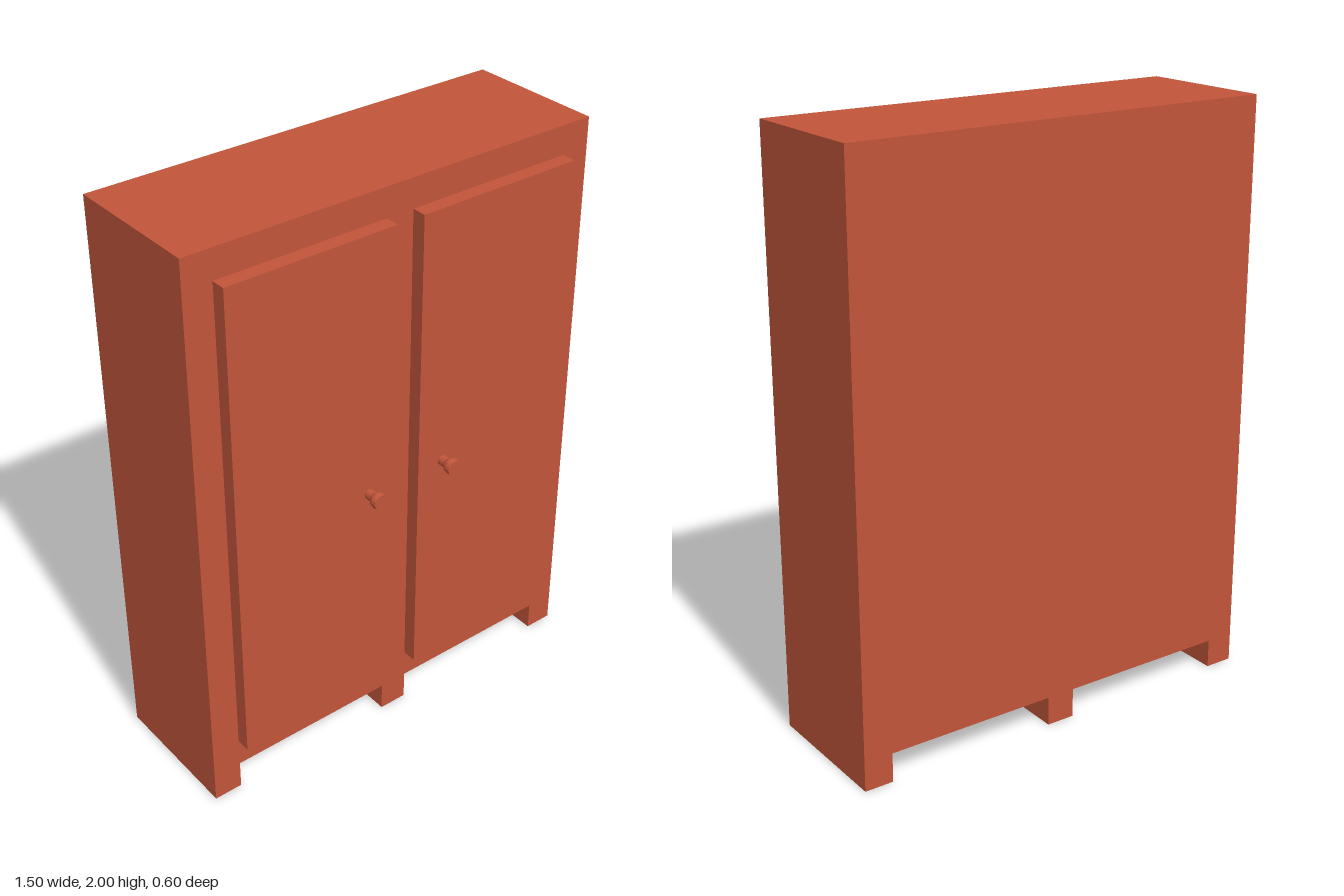
import * as THREE from 'three';

export function createModel() {
  const model = new THREE.Group();
  model.name = 'wardrobe';
  const wood = new THREE.MeshStandardMaterial({ color: 0xc1553b });

  // Box given by its minimum and maximum corners
  const board = (name, [x0, y0, z0], [x1, y1, z1]) => {
    const mesh = new THREE.Mesh(new THREE.BoxGeometry(x1 - x0, y1 - y0, z1 - z0), wood);
    mesh.position.set((x0 + x1) / 2, (y0 + y1) / 2, (z0 + z1) / 2);
    mesh.name = name;
    model.add(mesh);
  };

  const back = -0.3, front = 0.19;

  // Carcass: top slab, two sides and a centre divider reaching the floor
  board('top', [-0.75, 1.9, back], [0.75, 2, front]);
  board('rightSide', [-0.75, 0, back], [-0.65, 1.9, front]);
  board('leftSide', [0.65, 0, back], [0.75, 1.9, front]);
  board('divider', [-0.05, 0, back], [0.05, 1.9, front]);

  // Turned knob: slim stem flaring into a rounded head
  const knobProfile = [[0.018, 0], [0.018, 0.026], [0.026, 0.036], [0.028, 0.046], [0.025, 0.06], [0, 0.06]]
    .map(([r, h]) => new THREE.Vector2(r, h));
  const knobGeometry = new THREE.LatheGeometry(knobProfile, 16).toNonIndexed();
  knobGeometry.computeVertexNormals();
  knobGeometry.rotateX(Math.PI / 2);

  // Each bay: floor, back panel, door and knob
  for (const [side, s] of [['right', -1], ['left', 1]]) {
    const x0 = s > 0 ? 0.05 : -0.65, x1 = x0 + 0.6;
    board(side + 'Floor', [x0, 0.1, back], [x1, 0.2, front]);
    board(side + 'BackPanel', [x0, 0.2, back], [x1, 1.9, back + 0.05]);
    board(side + 'Door', [x0, 0.2, front], [x1, 1.9, front + 0.05]);

    const knob = new THREE.Mesh(knobGeometry, wood);
    knob.position.set(s * 0.15, 1, front + 0.05);
    knob.name = side + 'Knob';
    model.add(knob);
  }
  return model;
}
